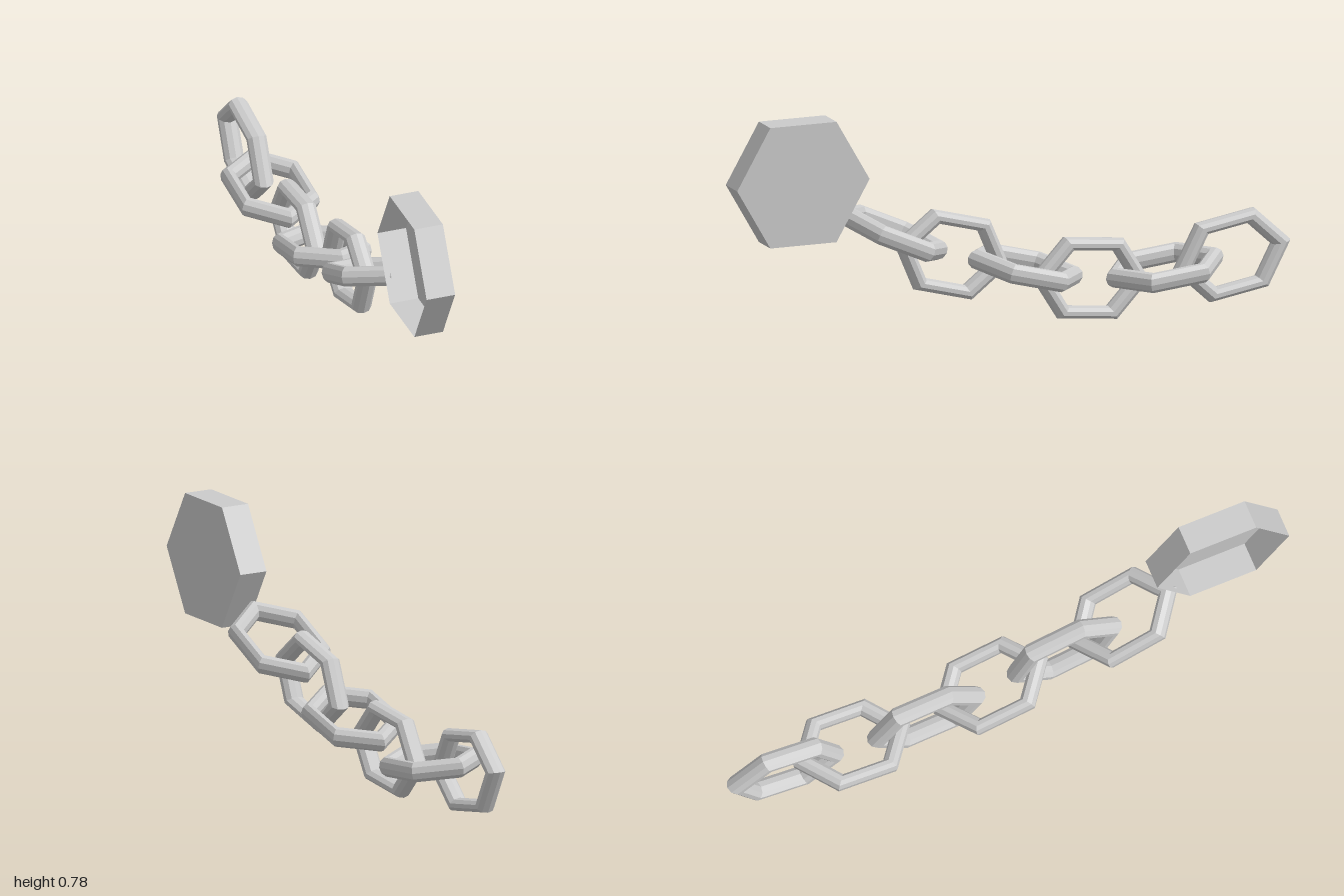
import * as THREE from 'three';

const rad = THREE.MathUtils.degToRad;

export function createModel() {
  const model = new THREE.Group();
  model.name = 'chainWithPlate';
  const metal = new THREE.MeshStandardMaterial({ color: 0xcccccc, flatShading: true });
  const sheet = new THREE.MeshStandardMaterial({ color: 0xcccccc, flatShading: true, side: THREE.DoubleSide });

  // Six-sided stretched link; tilt > 0 rises towards the back, roll turns it about its length
  function addLink(name, y, z, tilt, roll) {
    const geo = new THREE.TorusGeometry(0.176, 0.034, 10, 6);
    geo.scale(1, 0.753, 1);
    geo.rotateX(rad(roll));
    geo.rotateY(Math.PI / 2);
    geo.rotateX(rad(tilt));
    const link = new THREE.Mesh(geo, metal);
    link.name = name;
    link.position.set(0, y, z);
    model.add(link);
  }

  // Chain from the plate to the free end, alternating flat and upright links
  [
    [0.365, 0.415, -24, 95],
    [0.275, 0.207, -14.5, 0],
    [0.206, -0.055, -14.4, 95],
    [0.15, -0.285, -5.5, 0],
    [0.161, -0.55, 6, 95],
    [0.183, -0.787, 10, 0],
  ].forEach(([y, z, tilt, roll], i) =>
    addLink((roll ? 'flatLink' : 'uprightLink') + (i + 1), y, z, tilt, roll));

  // Hexagonal anchor plate: thin rim, closed at +x and open at -x
  const plate = new THREE.Group();
  plate.name = 'anchorPlate';
  plate.position.set(0.03, 0.577, 0.765);
  const rim = new THREE.Mesh(new THREE.CylinderGeometry(0.235, 0.235, 0.1, 6, 1, true).rotateZ(Math.PI / 2), sheet);
  rim.name = 'plateRim';
  const face = new THREE.Mesh(new THREE.CircleGeometry(0.235, 6).rotateY(Math.PI / 2), sheet);
  face.name = 'plateFace';
  face.position.x = 0.05;
  plate.add(rim, face);
  model.add(plate);

  return model;
}
